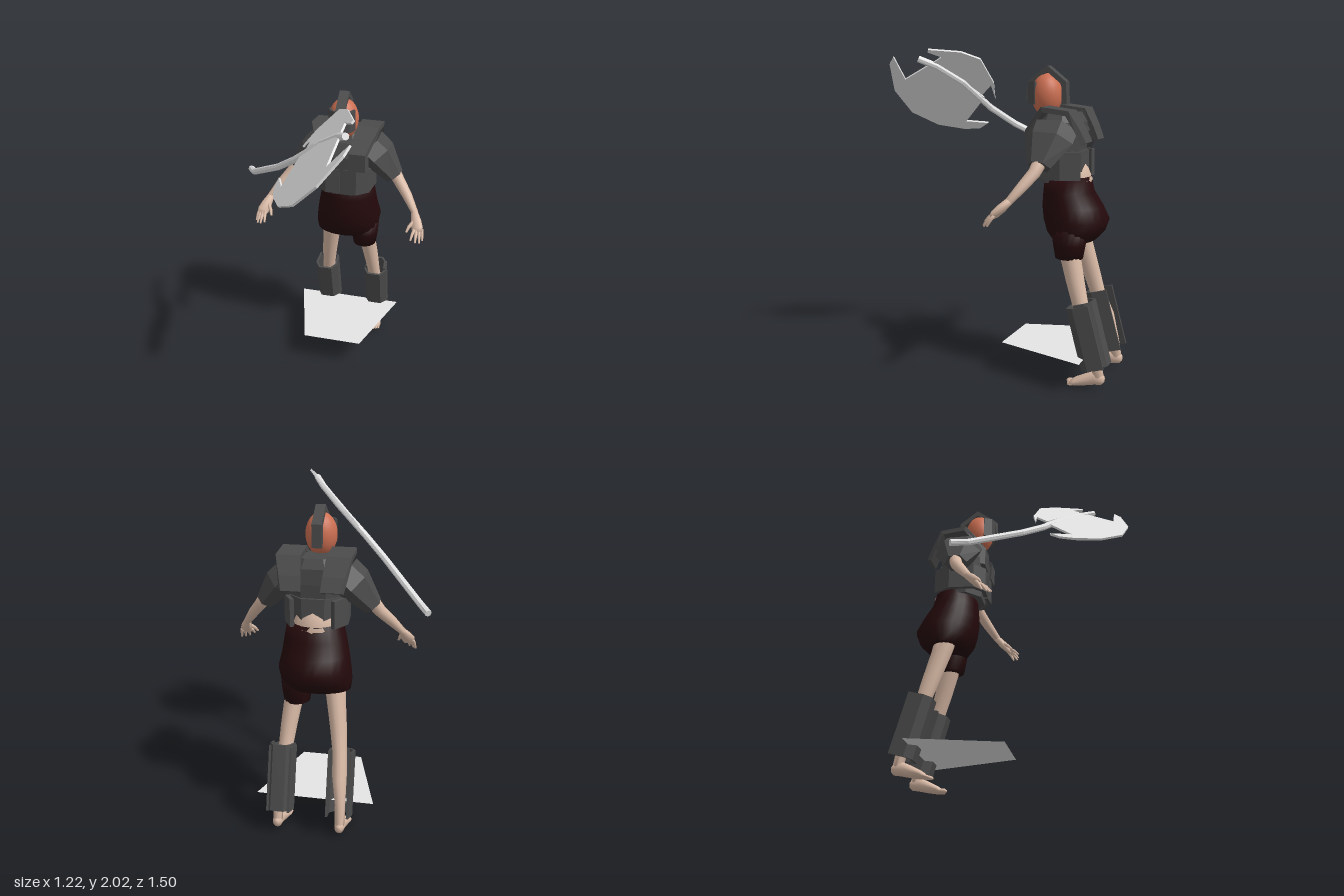
import * as THREE from 'three';

const mat = (name, color) => Object.assign(new THREE.MeshStandardMaterial({ color }), { name });
const V = (x, y, z) => new THREE.Vector3(x, y, z);
const C = 0.05; // x of the body's own centre line

// Closed skin through elliptical rings [x, y, z, r1, r2]; axis fixes the ring direction
function limb(rows, { n = 14, axis = null, flat = false } = {}) {
  const pos = [], idx = [], last = rows.length - 1;
  const p = rows.map(r => V(r[0], r[1], r[2]));
  const along = axis && axis.clone().multiplyScalar(Math.sign(p[last].clone().sub(p[0]).dot(axis)));
  rows.forEach((r, i) => {
    const t = along ? along.clone() : p[Math.min(i + 1, last)].clone().sub(p[Math.max(i - 1, 0)]);
    t.normalize();
    const ref = Math.abs(t.z) > 0.9 ? V(0, 1, 0) : V(0, 0, 1);
    const u = t.clone().cross(ref).normalize();
    const v = t.clone().cross(u);
    for (let k = 0; k < n; k++) {
      const a = (k + 0.5) / n * Math.PI * 2;
      const q = p[i].clone().addScaledVector(u, Math.cos(a) * r[3]).addScaledVector(v, Math.sin(a) * r[4]);
      pos.push(q.x, q.y, q.z);
    }
  });
  for (let i = 0; i < last; i++) for (let k = 0; k < n; k++) {
    const a = i * n + k, b = i * n + (k + 1) % n;
    idx.push(a, b, b + n, a, b + n, a + n);
  }
  const e = last * n;
  for (let k = 1; k < n - 1; k++) idx.push(0, k + 1, k, e, e + k, e + k + 1);
  let g = new THREE.BufferGeometry();
  g.setAttribute('position', new THREE.Float32BufferAttribute(pos, 3));
  g.setIndex(idx);
  if (flat) g = g.toNonIndexed();
  g.computeVertexNormals();
  return g;
}

// Bent sheet: a 2D polyline given thickness t on its left side and extruded, centred on depth
function ribbon(pts, t, depth) {
  const P = pts.map(q => new THREE.Vector2(q[0], q[1]));
  const normal = (a, b) => new THREE.Vector2(a.y - b.y, b.x - a.x).normalize();
  const inner = P.map((q, i) => {
    const n0 = normal(P[Math.max(i - 1, 0)], P[Math.max(i, 1)]);
    const n1 = normal(P[Math.min(i, P.length - 2)], P[Math.min(i + 1, P.length - 1)]);
    const m = n0.clone().add(n1).normalize();
    return q.clone().addScaledVector(m, t / Math.max(m.dot(n0), 0.5));
  });
  const g = new THREE.ExtrudeGeometry(new THREE.Shape([...P, ...inner.reverse()]), { depth, bevelEnabled: false });
  return g.translate(0, 0, -depth / 2);
}

// Shoulder strap, narrowing towards its front and back ends
function strap(s) {
  const g = ribbon([
    [-0.19, 1.42], [-0.185, 1.54], [-0.25, 1.62], [-0.31, 1.685], [-0.48, 1.665], [-0.54, 1.56], [-0.575, 1.48],
  ], 0.03, 0.145).rotateY(-Math.PI / 2);
  const p = g.attributes.position;
  for (let i = 0; i < p.count; i++) {
    const x = p.getX(i), z = p.getZ(i), d = Math.max(z + 0.31, -0.48 - z, 0);
    p.setX(i, x - s * d * (x * s > 0 ? 0.5 : 0.2));
  }
  g.computeVertexNormals();
  return g.translate(C + s * 0.147, 0, 0);
}

export function createModel() {
  const root = new THREE.Group();
  const skin = mat('skin', 0xd8b9a5), armour = mat('darkArmour', 0x4b4b4b), cloth = mat('maroonCloth', 0x24090b);
  const face = mat('headOrange', 0xcc6f52), steel = mat('steel', 0xe4e4e4);
  steel.side = THREE.DoubleSide;
  const add = (name, g, m, parent = root) => {
    const o = new THREE.Mesh(g, m);
    o.name = name;
    parent.add(o);
    return o;
  };
  const up = V(0, 1, 0);

  // Head and helmet
  add('head', new THREE.SphereGeometry(1, 24, 18).scale(0.094, 0.13, 0.094).translate(C, 1.745, -0.262), face);
  add('helmetCrest', ribbon([[-0.135, 1.72], [-0.155, 1.83], [-0.275, 1.92], [-0.395, 1.825], [-0.4, 1.69]], 0.03, 0.06)
    .rotateY(-Math.PI / 2).translate(C, 0, 0), armour);
  add('visor', ribbon([[-0.085, -0.215], [-0.06, -0.165], [0, -0.137], [0.06, -0.165], [0.085, -0.215]], -0.015, 0.135)
    .rotateX(Math.PI / 2).translate(C, 1.757, 0), armour);

  // Torso
  add('waist', limb([[C, 1.15, -0.41, 0.13, 0.12], [C, 1.24, -0.425, 0.14, 0.132], [C, 1.35, -0.39, 0.13, 0.12]], { axis: up }), skin);
  add('chestPlate', limb([
    [C, 1.39, -0.35, 0.185, 0.155], [C, 1.5, -0.35, 0.2, 0.165],
    [C, 1.59, -0.365, 0.18, 0.145], [C, 1.645, -0.37, 0.14, 0.11],
  ], { n: 8, axis: up, flat: true }), armour);
  add('bellyPlate', limb([[C, 1.23, -0.375, 0.165, 0.155], [C, 1.42, -0.365, 0.18, 0.16]],
    { n: 8, axis: up, flat: true }), armour);

  // Shorts with one longer leg
  add('shorts', limb([
    [0.058, 1.262, -0.41, 0.166, 0.137], [0.055, 1.17, -0.415, 0.185, 0.152], [0.05, 1.08, -0.44, 0.2, 0.185],
    [0.05, 1.0, -0.465, 0.216, 0.2], [0.042, 0.93, -0.46, 0.213, 0.178], [0.035, 0.87, -0.455, 0.198, 0.125],
  ], { n: 24, axis: up }), cloth);
  add('shortsLongLeg', limb([
    [0.16, 0.98, -0.46, 0.1, 0.12], [0.163, 0.86, -0.46, 0.09, 0.1], [0.163, 0.775, -0.46, 0.078, 0.085],
  ], { n: 18, axis: up }), cloth);

  for (const s of [1, -1]) {
    const side = new THREE.Group();
    side.name = s > 0 ? 'leftSide' : 'rightSide';
    root.add(side);
    const X = rows => rows.map(([dx, ...r]) => [C + s * dx, ...r]);

    // Shoulder straps, sleeves and belly bands
    add('shoulderStrap', strap(s), armour, side);
    add('sleeve', limb(X([[0.15, 1.545, -0.36, 0.105, 0.155], [0.215, 1.485, -0.36, 0.105, 0.15], [0.325, 1.35, -0.345, 0.058, 0.072]]),
      { n: 6, flat: true }), armour, side);
    add('bellyBand', ribbon([[0.012, -0.2], [0.1, -0.195], [0.175, -0.26], [0.19, -0.42], [0.13, -0.53]]
      .map(([x, z]) => [s * x, z]), -0.025 * s, 0.165).rotateX(Math.PI / 2).translate(C, 1.335, 0), armour, side);

    // Arm and hand
    add('arm', limb(X([
      [0.29, 1.42, -0.36, 0.045, 0.045], [0.36, 1.32, -0.33, 0.037, 0.037], [0.42, 1.25, -0.285, 0.032, 0.033],
      [0.485, 1.165, -0.225, 0.021, 0.024],
    ])), skin, side);
    add('palm', limb(X([
      [0.48, 1.17, -0.23, 0.021, 0.023], [0.5, 1.125, -0.185, 0.034, 0.026],
      [0.515, 1.09, -0.15, 0.038, 0.022], [0.522, 1.075, -0.135, 0.03, 0.012],
    ])), skin, side);
    const tips = [[0.485, 1.04, -0.075], [0.515, 1.025, -0.08], [0.54, 1.02, -0.092], [0.556, 1.025, -0.12]];
    tips.forEach((t, i) => {
      const k = [0.497 + i * 0.015, 1.088, -0.135 - i * 0.008];
      const mid = t.map((v, j) => (v + k[j]) / 2 + (j === 1 ? 0.006 : 0));
      add('finger', limb(X([[...k, 0.011, 0.011], [...mid, 0.01, 0.01], [...t, 0.006, 0.006]]), { n: 8 }), skin, side);
    });
    add('thumb', limb(X([[0.488, 1.13, -0.18, 0.013, 0.013], [0.462, 1.1, -0.145, 0.011, 0.011], [0.45, 1.072, -0.12, 0.007, 0.007]]),
      { n: 8 }), skin, side);

    // Leg and foot
    add('leg', limb(X([
      [0.11, 1.0, -0.42, 0.07, 0.075], [0.125, 0.82, -0.465, 0.058, 0.066], [0.15, 0.64, -0.515, 0.05, 0.058],
      [0.165, 0.5, -0.555, 0.043, 0.05], [0.175, 0.36, -0.61, 0.043, 0.055], [0.188, 0.2, -0.66, 0.031, 0.036],
      [0.19, 0.07, -0.685, 0.029, 0.034],
    ]), { axis: up }), skin, side);
    add('foot', limb(X([
      [0.19, 0.065, -0.722, 0.012, 0.018], [0.19, 0.065, -0.705, 0.028, 0.036], [0.19, 0.066, -0.66, 0.032, 0.044],
      [0.19, 0.046, -0.6, 0.038, 0.037], [0.19, 0.026, -0.54, 0.046, 0.026], [0.19, 0.016, -0.51, 0.042, 0.014],
    ]), { axis: V(0, 0, 1) }), skin, side);
    for (let i = 0; i < 5; i++) {
      const x = 0.158 + i * 0.017, r = 0.012 - i * 0.0012, z = -0.473 - i * 0.007;
      add('toe', limb(X([[x, 0.016, -0.53, r, r], [x, 0.013, z - 0.012, r, r], [x, 0.01, z, r * 0.5, r * 0.5]]),
        { n: 8, axis: V(0, 0, 1) }), skin, side);
    }

    // Greave leaning back along the shin
    const place = (g, y, z) => g.rotateX(1.84).translate(C + s * 0.18, y, z);
    add('greaveFront', place(ribbon([
      [-0.07, -0.07], [-0.078, 0.03], [-0.045, 0.08], [0.045, 0.08], [0.078, 0.03], [0.07, -0.07],
    ], -0.014, 0.394), 0.32, -0.612), armour, side);
    if (s > 0) add('greaveBack', place(ribbon([
      [0.072, 0.02], [0.066, -0.05], [0.04, -0.09], [-0.04, -0.09], [-0.066, -0.05], [-0.072, 0.02],
    ], -0.014, 0.4), 0.332, -0.609), armour, side);
  }

  // Axe: bent shaft and two flat blades lying in one tilted plane
  const axe = new THREE.Group();
  axe.name = 'axe';
  root.add(axe);
  add('axeShaft', limb([
    [-0.59, 1.31, -0.3], [-0.535, 1.335, -0.21], [-0.275, 1.53, 0.085], [-0.135, 1.643, 0.2],
    [0.06, 1.812, 0.305], [0.185, 1.912, 0.42], [0.245, 1.957, 0.515],
  ].map(p => [...p, 0.021, 0.021]), { n: 8, flat: true }), steel, axe);
  const b = 1.126, c = -0.374;
  const plane = new THREE.Matrix4().makeBasis(V(1, b, 0), V(0, c, 1), V(b, -1, c).normalize()).setPosition(0, 1.872, 0);
  const blade = (name, outline) => add(name, new THREE.ExtrudeGeometry(
    new THREE.Shape(outline.map(p => new THREE.Vector2(...p))), { depth: 0.014, bevelEnabled: false })
    .translate(0, 0, -0.007).applyMatrix4(plane), steel, axe);
  blade('largeBlade', [
    [-0.21, 0.255], [-0.155, 0.39], [-0.07, 0.215], [0.06, 0.3], [0.2, 0.45], [0.18, 0.65], [0.305, 0.655],
    [0.28, 0.7], [0.15, 0.75], [0.005, 0.71], [-0.115, 0.58], [-0.195, 0.42], [-0.222, 0.32],
  ]);
  blade('smallBlade', [
    [-0.095, 0.15], [-0.015, 0.122], [0.125, 0.147], [0.195, 0.245], [0.27, 0.43], [0.26, 0.44],
    [0.21, 0.37], [0.2, 0.44], [0.06, 0.3], [-0.05, 0.22], [-0.02, 0.145],
  ]);

  // Thin four-sided ground sheet
  const sheet = new THREE.Shape([[-0.33, 0.61], [-0.16, 0.04], [0.23, 0.04], [0.39, 0.61]].map(p => new THREE.Vector2(...p)));
  add('groundSheet', new THREE.ShapeGeometry(sheet).rotateX(-Math.PI / 2).translate(0, 0.195, 0), steel);
  return root;
}
